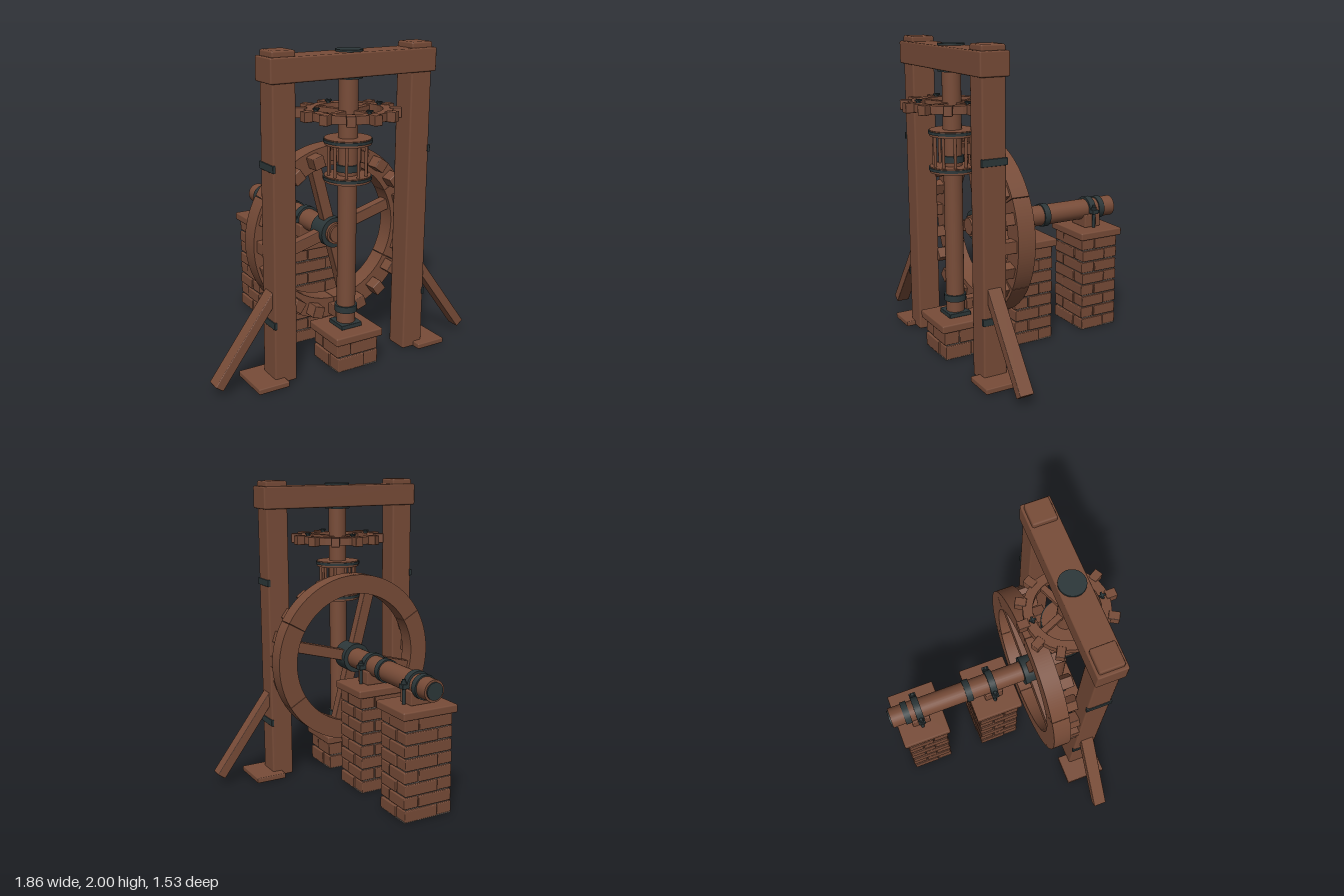
import * as THREE from 'three';
import { RoundedBoxGeometry } from 'three/addons/geometries/RoundedBoxGeometry.js';

const mat = (name, color) => Object.assign(new THREE.MeshStandardMaterial({ color }), { name });

export function createModel() {
  const wood = mat('brown wood and brick', 0x784c38);
  const iron = mat('dark iron', 0x2c3739);
  const mortar = mat('grey mortar', 0x69625d);
  const model = new THREE.Group();
  model.name = 'gearMill';

  const group = (name, x = 0, y = 0, z = 0, parent = model) => {
    const g = new THREE.Group();
    g.name = name;
    g.position.set(x, y, z);
    parent.add(g);
    return g;
  };
  const add = (parent, name, geo, material, x = 0, y = 0, z = 0) => {
    const m = new THREE.Mesh(geo, material);
    m.name = name;
    m.position.set(x, y, z);
    parent.add(m);
    return m;
  };
  // Softly bevelled block
  const block = (parent, name, w, h, d, x, y, z, r = 0.007, material = wood) =>
    add(parent, name, new RoundedBoxGeometry(w, h, d, 1, r), material, x, y, z);
  // Upright cylinder centred at y
  const rod = (parent, name, r, h, material, x, y, z, sides = 28) =>
    add(parent, name, new THREE.CylinderGeometry(r, r, h, sides), material, x, y, z);
  // Extruded arc of a ring, lying in the xy plane from z = 0
  const arcGeo = (inner, outer, from, to, depth) => {
    const s = new THREE.Shape();
    s.absarc(0, 0, outer, from, to, false);
    s.absarc(0, 0, inner, to, from, true);
    return new THREE.ExtrudeGeometry(s, { depth, bevelEnabled: false, curveSegments: 16 });
  };

  // Timber frame
  const frame = group('timberFrame');
  block(frame, 'crossBeam', 1.14, 0.145, 0.19, 0, 1.8925, 0.455, 0.01);
  for (const y of [1.816, 1.969]) rod(frame, 'beamBearing', 0.083, 0.016, iron, 0, y, 0.45);
  for (const s of [1, -1]) {
    block(frame, 'post', 0.15, 2, 0.155, s * 0.475, 1, 0.453, 0.012);
    block(frame, 'foot', 0.205, 0.036, 0.28, s * 0.587, 0.018, 0.45);
    const brace = block(frame, 'brace', 0.06, 0.68, 0.09, s * 0.704, 0.33, 0.458, 0.005);
    brace.rotation.z = s * 0.636;
    for (const y of [0.385, 1.34])
      block(frame, 'postPlate', 0.02, 0.045, 0.168, s * 0.546, y, 0.453, 0.004, iron);
  }

  // Brick piers with pinwheel courses, mirrored on every other row
  const pier = (name, z, hw, hd, top, rows, cw, cd) => {
    const g = group(name, 0, 0, z);
    const t = 0.1, gap = 0.009, h = top / rows;
    add(g, 'mortarCore', new THREE.BoxGeometry(2 * hw - 0.03, top, 2 * hd - 0.03), mortar, 0, top / 2, 0);
    add(g, 'mortarBase', new THREE.BoxGeometry(2 * hw - 0.006, 0.008, 2 * hd - 0.006), mortar, 0, 0.004, 0);
    for (let i = 0; i < rows; i++) {
      const m = i % 2 ? -1 : 1;
      const grow = i % 2 ? 0 : 0.003;
      for (const s of [1, -1]) {
        block(g, 'brick', 2 * hw - t - gap, h - gap, t + grow,
          -m * s * t / 2, (i + 0.5) * h, s * (hd - t / 2), 0.006);
        block(g, 'brick', t + grow, h - gap, 2 * hd - t - gap,
          m * s * (hw - t / 2), (i + 0.5) * h, s * t / 2, 0.006);
      }
    }
    block(g, 'capStone', cw, 0.053, cd, 0, top + 0.0265, 0, 0.01);
  };
  pier('frontPier', 0.453, 0.15, 0.143, 0.19, 2, 0.34, 0.333);
  pier('middlePier', -0.043, 0.17, 0.143, 0.648, 8, 0.385, 0.327);
  pier('rearPier', -0.567, 0.17, 0.143, 0.648, 8, 0.385, 0.327);

  // Upright shaft
  const upright = group('uprightShaft', 0, 0, 0.45);
  rod(upright, 'shaft', 0.059, 1.57, wood, 0, 1.035, 0);
  block(upright, 'footBearing', 0.15, 0.028, 0.15, 0, 0.257, 0, 0.004, iron);
  rod(upright, 'shaftBand', 0.071, 0.042, iron, 0, 0.363, 0);
  rod(upright, 'shaftBand', 0.071, 0.042, iron, 0, 1.27, 0);

  // Lantern pinion
  const lantern = group('lanternPinion', 0, 0, 0.45);
  for (const y of [1.207, 1.435]) {
    rod(lantern, 'disc', 0.143, 0.038, wood, 0, y, 0, 36);
    rod(lantern, 'discBand', 0.15, 0.018, iron, 0, y + 0.004, 0, 36);
  }
  for (let i = 0; i < 10; i++) {
    const a = (i + 0.5) * Math.PI / 5;
    rod(lantern, 'stave', 0.01, 0.22, wood, 0.118 * Math.cos(a), 1.32, 0.118 * Math.sin(a), 10);
  }

  // Crown gear
  const crown = group('crownGear', 0, 1.605, 0.45);
  const crownRim = add(crown, 'crownRim', arcGeo(0.205, 0.265, 0, Math.PI * 2 - 1e-4, 0.05), wood, 0, 0.025, 0);
  crownRim.rotation.x = Math.PI / 2;
  for (let i = 0; i < 12; i++) {
    const a = i * Math.PI / 6;
    const tooth = block(crown, 'tooth', 0.055, 0.062, 0.07, 0.28 * Math.sin(a), 0, 0.28 * Math.cos(a), 0.005);
    tooth.rotation.y = a;
  }
  for (let i = 0; i < 4; i++) {
    const a = i * Math.PI / 2, b = a + 0.4;
    const spoke = block(crown, 'crownSpoke', 0.04, 0.035, 0.18, 0.13 * Math.sin(b), 0, 0.13 * Math.cos(b), 0.004);
    spoke.rotation.y = b;
    const bolt = group('bolt', 0.222 * Math.sin(a), 0.03, 0.222 * Math.cos(a), crown);
    rod(bolt, 'boltHead', 0.014, 0.02, iron, 0, 0, 0, 6);
    block(bolt, 'boltBar', 0.045, 0.012, 0.012, 0, 0.01, 0, 0.003, iron);
    block(bolt, 'boltBar', 0.012, 0.012, 0.045, 0, 0.01, 0, 0.003, iron);
  }

  // Great face wheel
  const wheel = group('greatWheel', 0, 0.815, 0);
  for (let i = 0; i < 6; i++) {
    const a = Math.PI / 6 + i * Math.PI / 3;
    add(wheel, 'rimSegment', arcGeo(0.44, 0.567, a + 0.003, a + Math.PI / 3 - 0.003, 0.118), wood, 0, 0, 0.188);
  }
  for (let i = 0; i < 20; i++) {
    const a = i * Math.PI / 10;
    const cog = block(wheel, 'cog', 0.075, 0.075, 0.1, 0.51 * Math.cos(a), 0.51 * Math.sin(a), 0.338, 0.005);
    cog.rotation.z = a;
  }
  for (let i = 0; i < 2; i++) {
    const spoke = block(wheel, 'spoke', 0.9, 0.073, 0.066, 0, 0, 0.247, 0.005);
    spoke.rotation.z = 0.265 + i * Math.PI / 2;
  }

  // Horizontal shaft along z
  const axle = group('axle', 0, 0.815, 0);
  const ring = (name, r, from, to, material) => {
    const m = rod(axle, name, r, to - from, material, 0, 0, (from + to) / 2);
    m.rotation.x = Math.PI / 2;
  };
  ring('axleShaft', 0.069, -0.755, 0.335, wood);
  ring('axleEnd', 0.055, -0.765, -0.75, iron);
  ring('axleFront', 0.055, 0.33, 0.35, wood);
  ring('hub', 0.098, 0.18, 0.315, iron);
  ring('axleBand', 0.078, -0.232, -0.188, iron);
  ring('axleBand', 0.078, -0.667, -0.625, iron);

  // Bearings: wooden saddle, iron strap and bolts
  for (const z of [-0.043, -0.567]) {
    const g = group('bearing', 0, 0, z);
    block(g, 'saddle', 0.16, 0.09, 0.126, 0, 0.745, 0, 0.008);
    add(g, 'strap', arcGeo(0.066, 0.084, 0, Math.PI, 0.046), iron, 0, 0.815, -0.023);
    for (const s of [1, -1]) {
      block(g, 'strapEar', 0.05, 0.03, 0.046, s * 0.09, 0.812, 0, 0.004, iron);
      rod(g, 'strapBolt', 0.011, 0.16, iron, s * 0.093, 0.775, 0, 10);
      rod(g, 'strapNut', 0.018, 0.016, iron, s * 0.093, 0.834, 0, 6);
    }
  }
  return model;
}
